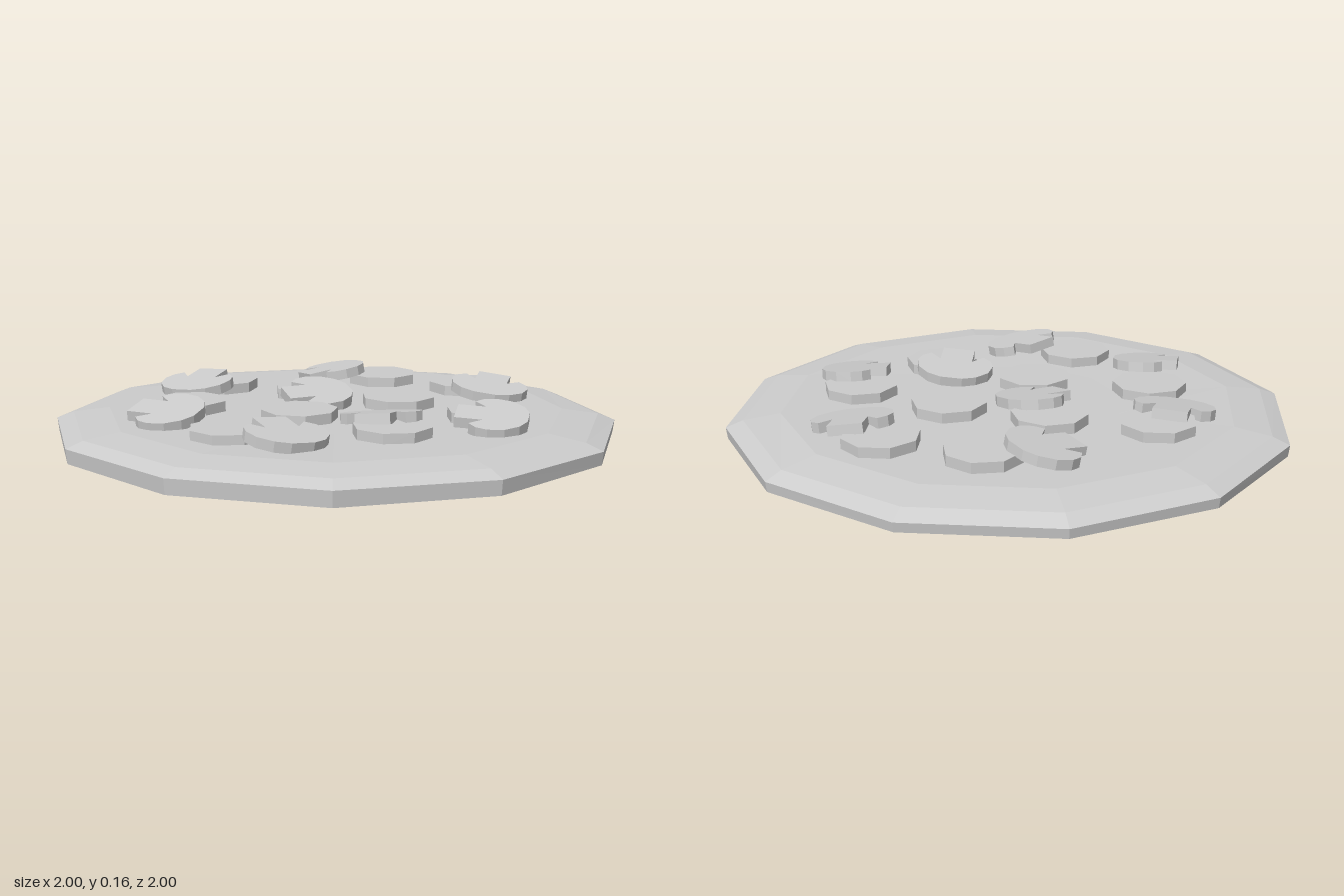
import * as THREE from 'three';

// Give every face its own normal for a faceted look
function facet(geometry) {
  const g = geometry.index ? geometry.toNonIndexed() : geometry;
  g.computeVertexNormals();
  return g;
}

// Twelve-sided crust: a lathe whose rim sinks slightly towards the back right
function crustGeometry() {
  const profile = [[0, 0], [0.995, 0], [1, 0.043], [0.94, 0.066], [0.81, 0.083], [0.4, 0.079], [0, 0.08]]
    .map(([r, y]) => new THREE.Vector2(r, y));
  const g = new THREE.LatheGeometry(profile, 12);
  const p = g.attributes.position;
  for (let i = 0; i < p.count; i++) {
    const x = p.getX(i), z = p.getZ(i);
    if (p.getY(i) > 0.01) p.setY(i, p.getY(i) - 0.007 * (x - z) * Math.hypot(x, z) ** 4);
  }
  return facet(g);
}

// Mushroom slice: short stem towards -z, rounded cap towards +z
function mushroomGeometry() {
  const half = [[0.06, 0.125], [0.06, 0.03], [0.1, 0.072], [0.13, 0.045], [0.142, 0.005],
    [0.13, -0.05], [0.09, -0.095], [0.04, -0.117]];
  const mirrored = half.map(([x, y]) => [-x, y]).reverse();
  const shape = new THREE.Shape([...half, ...mirrored].map(([x, y]) => new THREE.Vector2(x, y)));
  const g = new THREE.ExtrudeGeometry(shape, { depth: 0.036, bevelEnabled: false });
  g.rotateX(-Math.PI / 2);
  return facet(g);
}

export function createModel() {
  const group = new THREE.Group();
  const gray = new THREE.MeshStandardMaterial({ color: 0xcccccc });
  gray.name = 'light gray';

  const add = (name, geometry, x = 0, y = 0, z = 0) => {
    const mesh = new THREE.Mesh(geometry, gray);
    mesh.name = name;
    mesh.position.set(x, y, z);
    group.add(mesh);
    return mesh;
  };

  add('crust', crustGeometry());

  // Sausage slices: x, z, turn in degrees
  const slices = [
    [-0.19, -0.55, 22], [0.42, -0.37, 10], [-0.455, -0.25, 0], [0.04, -0.26, 3], [0.6, -0.06, 22],
    [-0.525, 0.225, 3], [-0.05, 0.465, 0], [0.36, 0.41, 4], [-0.19, 0.085, 20], [0.23, 0.055, 3],
  ];
  const sliceGeometry = facet(new THREE.CylinderGeometry(0.134, 0.134, 0.045, 8));
  for (const [x, z, turn] of slices) {
    add('sausageSlice', sliceGeometry, x, 0.0935, z).rotation.y = -THREE.MathUtils.degToRad(turn);
  }

  // Mushrooms: x, z, stem turn in degrees; each leans on the slice of the same index
  const mushrooms = [
    [-0.31, -0.51, -55], [0.27, -0.49, 85], [-0.61, -0.075, 40], [-0.01, -0.11, 80],
    [0.6, 0.1, -45], [-0.42, 0.42, 0], [-0.015, 0.34, 135], [0.295, 0.545, 48],
  ];
  const mushroom = mushroomGeometry();
  mushrooms.forEach(([x, z, turn], i) => {
    const towards = new THREE.Vector2(slices[i][0] - x, slices[i][1] - z).normalize();
    const mesh = add('mushroomSlice', mushroom, x, 0.097, z);
    mesh.rotation.y = THREE.MathUtils.degToRad(turn);
    mesh.rotateOnWorldAxis(new THREE.Vector3(-towards.y, 0, towards.x), 0.17);
  });

  return group;
}
